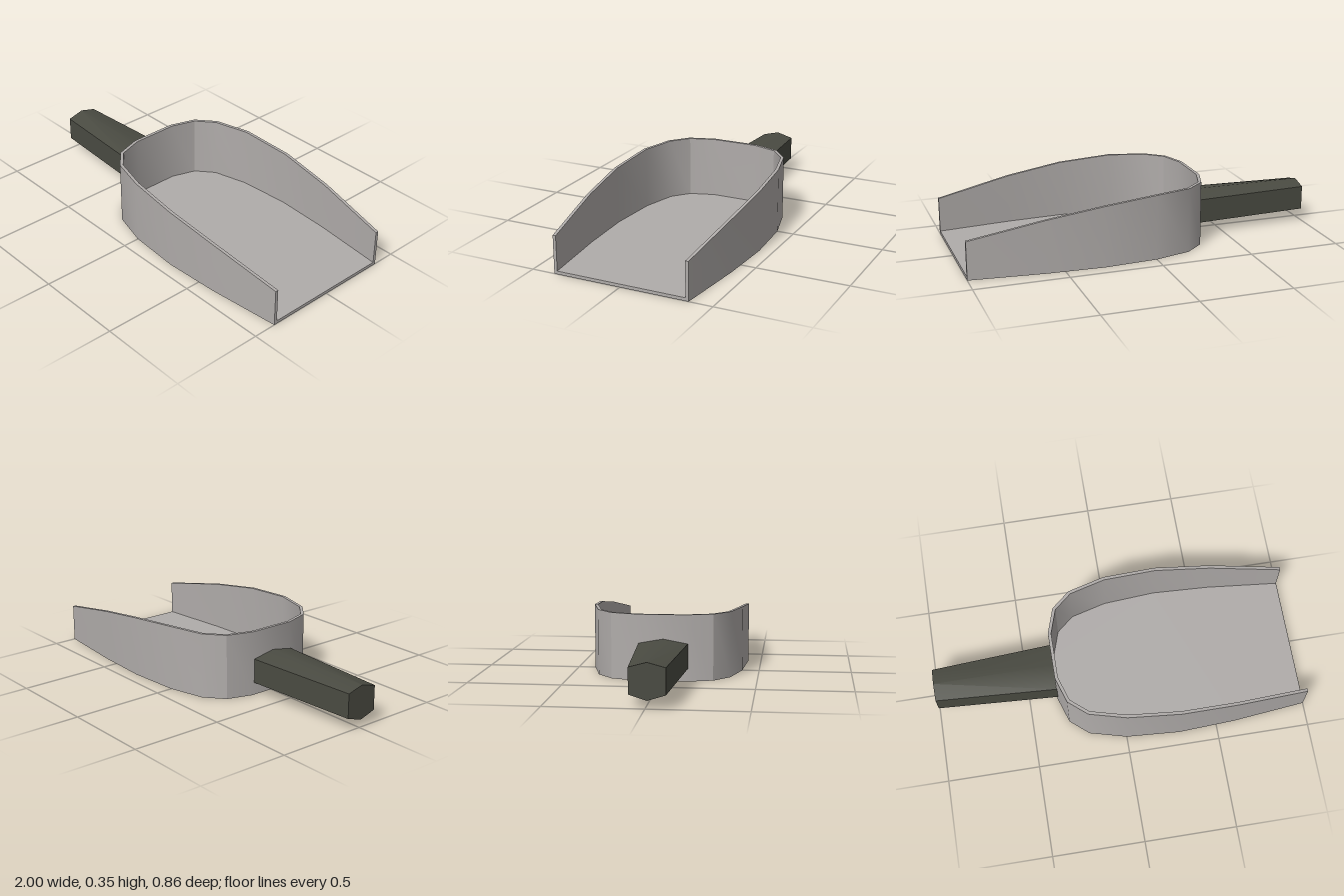
import * as THREE from 'three';
import { toCreasedNormals } from 'three/addons/utils/BufferGeometryUtils.js';

const WALL = 0.017;

// Skin a list of equal-sized closed cross-sections and cap both ends.
function loft(sections) {
  const n = sections[0].length;
  const index = [];
  const last = (sections.length - 1) * n;
  for (let i = 0; i < last; i += n) {
    for (let k = 0; k < n; k++) {
      const m = (k + 1) % n;
      index.push(i + k, i + m, i + n + m, i + k, i + n + m, i + n + k);
    }
  }
  for (let k = 1; k < n - 1; k++) {
    index.push(0, k + 1, k, last, last + k, last + k + 1);
  }
  const geometry = new THREE.BufferGeometry();
  geometry.setAttribute('position', new THREE.Float32BufferAttribute(sections.flat(2), 3));
  geometry.setIndex(index);
  return toCreasedNormals(geometry, 0.5);
}

export function createModel() {
  const group = new THREE.Group();
  const metal = new THREE.MeshStandardMaterial({ name: 'warm grey metal', color: 0xb0acaa });
  const grip = new THREE.MeshStandardMaterial({ name: 'dark olive grip', color: 0x4a4b42 });

  const add = (name, geometry, material) => {
    const mesh = new THREE.Mesh(geometry, material);
    mesh.name = name;
    group.add(mesh);
  };

  // Pan outline, one side from the open mouth to the back: x, half width, rim height
  const side = [
    [1, 0.373, 0.206], [0.6, 0.413, 0.285], [0.29, 0.428, 0.33], [0, 0.408, 0.353],
    [-0.2, 0.355, 0.353], [-0.3, 0.27, 0.353], [-0.345, 0.13, 0.353],
  ];
  const outline = [...side, ...side.map(([x, z, h]) => [x, -z, h]).reverse()];

  // Inner outline, inset by the wall thickness with mitred corners
  const edgeNormal = (a, b) => new THREE.Vector2(b[1] - a[1], a[0] - b[0]).normalize();
  const inner = outline.map((p, i) => {
    const before = edgeNormal(outline[Math.max(i - 1, 0)], outline[Math.max(i, 1)]);
    const end = outline.length - 1;
    const after = edgeNormal(outline[Math.min(i, end - 1)], outline[Math.min(i + 1, end)]);
    const miter = before.clone().add(after).normalize();
    miter.multiplyScalar(WALL / miter.dot(before));
    const mouth = i === 0 || i === end;
    return [mouth ? p[0] : p[0] + Math.abs(miter.x) * Math.sign(0.29 - p[0]), p[1] - Math.sign(p[1]) * Math.abs(miter.y)];
  });

  // Curved wall around the back and both sides
  add('panWall', loft(outline.map(([x, z, h], i) => {
    const [u, w] = inner[i];
    return [[x, 0, z], [x, h, z], [u, h, w], [u, 0, w]];
  })), metal);

  // Flat floor between the walls
  const floorShape = new THREE.Shape(inner.map(([x, z]) => new THREE.Vector2(x, -z)));
  const floor = new THREE.ExtrudeGeometry(floorShape, { depth: WALL, bevelEnabled: false });
  add('panFloor', floor.rotateX(-Math.PI / 2), metal);

  // Tapered six-sided handle with a ridge along its top and bottom
  const handleSection = (x, w) => [
    [w, 0.068], [w, 0.2], [0, 0.224], [-w, 0.2], [-w, 0.068], [0, 0.04],
  ].map(([z, y]) => [x, y, z + 0.01]);
  add('handle', loft([handleSection(-0.34, 0.13), handleSection(-1, 0.09)]), grip);

  return group;
}
